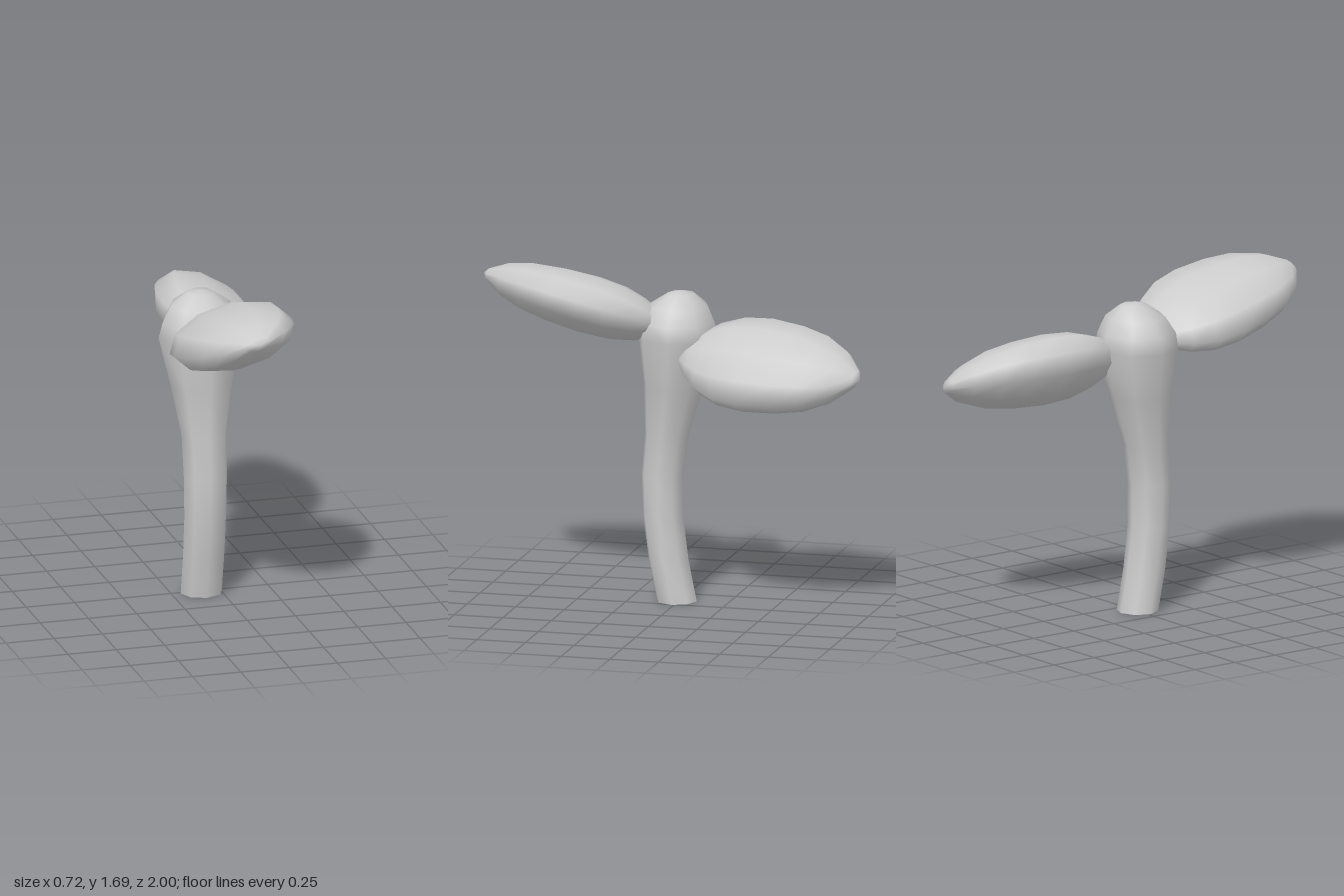
import * as THREE from 'three';
import { mergeVertices } from 'three/addons/utils/BufferGeometryUtils.js';

const material = new THREE.MeshStandardMaterial({ color: 0xcccccc, side: THREE.DoubleSide });

// Weld the lathe seam so the shading runs smoothly all the way round
function weld(geometry) {
  geometry.deleteAttribute('uv');
  geometry.deleteAttribute('normal');
  const welded = mergeVertices(geometry, 1e-4);
  welded.computeVertexNormals();
  return welded;
}

// Curved eight-sided stem with a flared, domed head: [y, radius, z of centre]
function createStem() {
  const rings = [
    [0, 0.107, 0.012], [0.21, 0.107, 0.055], [0.43, 0.108, 0.083], [0.64, 0.112, 0.086],
    [0.85, 0.117, 0.064], [1.1, 0.162, 0.028], [1.35, 0.218, 0.002], [1.43, 0.2, 0.01],
    [1.51, 0.155, 0], [1.57, 0.07, -0.01], [1.582, 0, 0],
  ];
  const geometry = new THREE.LatheGeometry(rings.map(([y, r]) => new THREE.Vector2(r, y)), 8);
  const position = geometry.attributes.position;
  for (let i = 0; i < position.count; i++) {
    const ring = rings[i % rings.length];
    position.setX(i, position.getX(i) - 0.097);
    position.setZ(i, position.getZ(i) * 0.96 + ring[2]);
  }
  const stem = new THREE.Mesh(weld(geometry), material);
  stem.name = 'stem';
  return stem;
}

// Plump leaf from root to tip, rolled about its own length
function createLeaf(name, root, tip, halfWidth, halfThickness, roll) {
  const profile = [
    [0, 0], [0.3, 0.012], [0.52, 0.07], [0.76, 0.15], [0.95, 0.27], [1.01, 0.42],
    [0.95, 0.6], [0.82, 0.75], [0.56, 0.88], [0.2, 0.975], [0, 1],
  ].map(([r, t]) => new THREE.Vector2(r, t));
  const along = tip.clone().sub(root);
  const length = along.length();
  along.normalize();
  const across = new THREE.Vector3(Math.cos(roll), Math.sin(roll), 0);
  across.addScaledVector(along, -across.dot(along)).normalize();
  const normal = across.clone().cross(along);

  const geometry = new THREE.LatheGeometry(profile, 10, Math.PI / 2);
  geometry.scale(halfWidth, length, halfThickness);
  geometry.applyMatrix4(new THREE.Matrix4().makeBasis(across, along, normal).setPosition(root));
  const leaf = new THREE.Mesh(weld(geometry), material);
  leaf.name = name;
  return leaf;
}

export function createModel() {
  const model = new THREE.Group();
  model.name = 'sprout';
  const v = (x, y, z) => new THREE.Vector3(x, y, z);
  model.add(
    createStem(),
    createLeaf('frontLeaf', v(-0.075, 1.395, 0.07), v(-0.075, 1.62, 1), 0.305, 0.15, 0.27),
    createLeaf('rearLeaf', v(0.01, 1.285, -0.05), v(0.165, 1.24, -1), 0.3, 0.165, -0.5),
  );
  return model;
}
